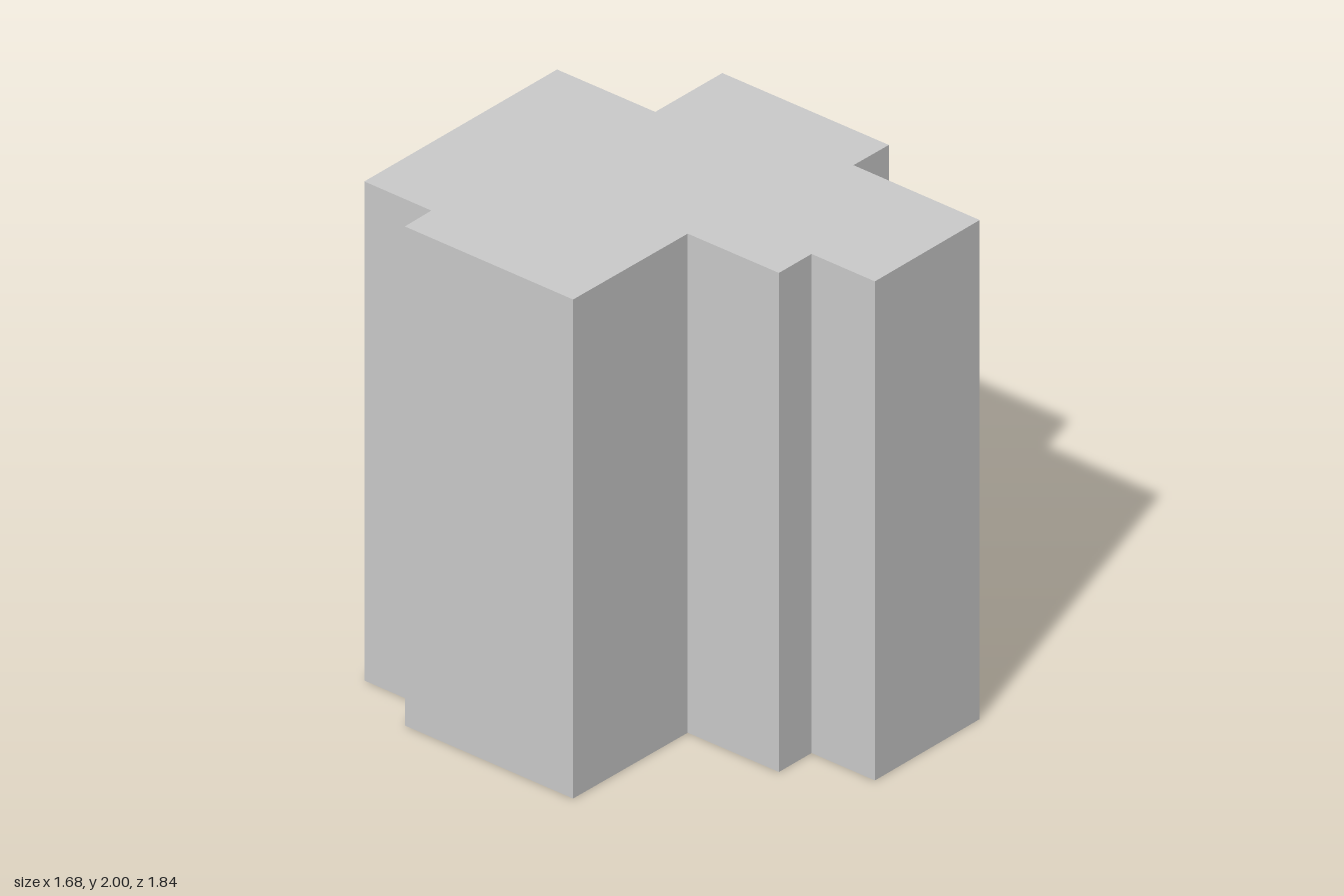
import * as THREE from 'three';

const HEIGHT = 2;

// Floor plan corners as [x, z], in order so that every wall faces outward
const PLAN = [
  [-0.70, -0.408], [-0.84, -0.376], [-0.684, 0.382], [-0.09, 0.26],
  [-0.004, 0.669], [0.166, 0.633], [0.225, 0.918], [0.773, 0.80],
  [0.656, 0.231], [0.839, 0.194], [0.683, -0.554], [0.334, -0.481],
  [0.242, -0.922], [-0.762, -0.71],
];

export function createModel() {
  const model = new THREE.Group();
  model.name = 'building';
  const material = new THREE.MeshStandardMaterial({
    color: 0xcccccc, flatShading: true, side: THREE.DoubleSide,
  });

  // One flat wall per plan edge; the shell is open underneath
  const walls = new THREE.Group();
  walls.name = 'walls';
  PLAN.forEach(([x0, z0], i) => {
    const [x1, z1] = PLAN[(i + 1) % PLAN.length];
    const dx = x1 - x0, dz = z1 - z0;
    const wall = new THREE.Mesh(new THREE.PlaneGeometry(Math.hypot(dx, dz), HEIGHT), material);
    wall.name = `wall${i + 1}`;
    wall.position.set((x0 + x1) / 2, HEIGHT / 2, (z0 + z1) / 2);
    wall.rotation.y = Math.atan2(-dz, dx);
    walls.add(wall);
  });
  model.add(walls);

  // Flat roof closing the top
  const outline = new THREE.Shape(PLAN.map(([x, z]) => new THREE.Vector2(x, -z)));
  const roof = new THREE.Mesh(new THREE.ShapeGeometry(outline).rotateX(-Math.PI / 2), material);
  roof.name = 'roof';
  roof.position.y = HEIGHT;
  model.add(roof);

  return model;
}
